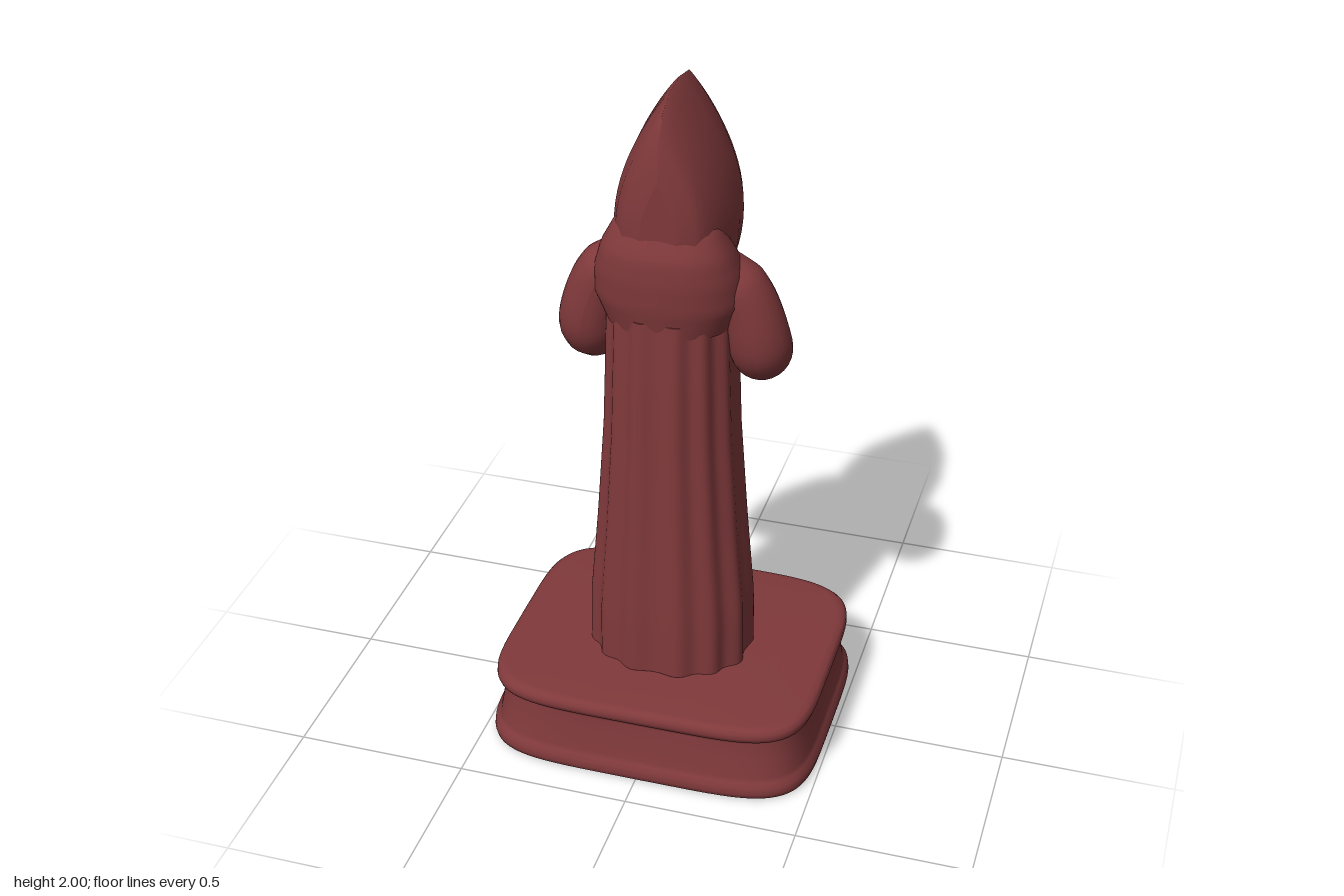
import * as THREE from 'three';

const V = (x, y, z) => new THREE.Vector3(x, y, z);

// Closed loft through rings of equal point count, capped at both ends
function loft(rings) {
  const n = rings[0].length, pos = [], idx = [];
  rings.forEach(r => r.forEach(p => pos.push(p.x, p.y, p.z)));
  for (let i = 0; i < rings.length - 1; i++) for (let j = 0; j < n; j++) {
    const k = (j + 1) % n, a = i * n + j, b = i * n + k, c = a + n, d = b + n;
    idx.push(a, c, b, b, c, d);
  }
  [0, rings.length - 1].forEach((r, top) => {
    const base = pos.length / 3, mid = V(0, 0, 0);
    rings[r].forEach(p => mid.addScaledVector(p, 1 / n));
    rings[r].forEach(p => pos.push(p.x, p.y, p.z));
    pos.push(mid.x, mid.y, mid.z);
    for (let j = 0; j < n; j++) {
      const k = (j + 1) % n;
      idx.push(base + n, base + (top ? k : j), base + (top ? j : k));
    }
  });
  const g = new THREE.BufferGeometry();
  g.setAttribute('position', new THREE.Float32BufferAttribute(pos, 3));
  g.setIndex(idx);
  g.computeVertexNormals();
  return g;
}

const loop = (n, f) => Array.from({ length: n }, (_, i) => f(i / n * Math.PI * 2));
const spow = (v, e) => Math.sign(v) * Math.abs(v) ** e;

// Linear lookup in a table of rows sorted by their first entry
function lookup(table, t) {
  let i = 0;
  while (i < table.length - 2 && t > table[i + 1][0]) i++;
  const a = table[i], b = table[i + 1];
  const f = THREE.MathUtils.clamp((t - a[0]) / (b[0] - a[0]), 0, 1);
  return a.map((v, k) => v + (b[k] - v) * f);
}

// Body cross-section point; angle 0 is the open side at -z
function bodyPoint([y, rx, zBack, zFront], a, fold) {
  const w = Math.abs(a > Math.PI ? a - Math.PI * 2 : a);
  const ss = THREE.MathUtils.smoothstep;
  let m = 1;
  if (fold) {
    const pleat = Math.cos(13 * w) * 0.03 + Math.cos(6 * w + 1) * 0.012;
    m += pleat * ss(w, 0.8, 1.2) - 0.09 * (1 - ss(w, 0.34, 0.42));
  }
  const zc = (zBack + zFront) / 2, rz = (zBack - zFront) / 2;
  return V(m * rx * spow(Math.sin(a), 0.86), y, zc - m * rz * spow(Math.cos(a), 0.86));
}

const ROBE = [[0.25, 0.232, 0.215, -0.2], [0.42, 0.23, 0.213, -0.198], [0.7, 0.206, 0.202, -0.188],
  [1.0, 0.185, 0.192, -0.175], [1.2, 0.178, 0.187, -0.17], [1.38, 0.172, 0.178, -0.155]];
const MANTLE = [[1.34, 0.182, 0.172, -0.155], [1.42, 0.212, 0.187, -0.14], [1.5, 0.203, 0.192, -0.1],
  [1.57, 0.18, 0.188, -0.05], [1.64, 0.142, 0.155, 0], [1.7, 0.08, 0.12, 0.04]];
// Hood rows run from the back to the rim, then into the cavity: z, top, bottom, half width
const HOOD = [[0.163, 1.78, 1.45, 0.05], [0.15, 1.9, 1.35, 0.1], [0.12, 1.95, 1.28, 0.128],
  [0.05, 1.99, 1.2, 0.155], [-0.05, 2, 1.2, 0.164], [-0.13, 1.985, 1.22, 0.155],
  [-0.2, 1.93, 1.25, 0.135], [-0.225, 1.89, 1.27, 0.122], [-0.22, 1.855, 1.33, 0.1],
  [-0.15, 1.87, 1.36, 0.11], [0, 1.86, 1.4, 0.1], [0.06, 1.75, 1.5, 0.05]];

// Variable-width sleeve: a tube whose rings are scaled along the path
function sleeve(points, radii, drop) {
  const curve = new THREE.CatmullRomCurve3(points);
  const su = 48, sv = 28, g = new THREE.TubeGeometry(curve, su, 1, sv, false);
  const p = g.attributes.position, v = V(0, 0, 0);
  for (let i = 0; i < p.count; i++) {
    const u = Math.floor(i / (sv + 1)) / su, c = curve.getPointAt(u);
    const r = lookup(radii, u)[1];
    v.fromBufferAttribute(p, i).sub(c).multiplyScalar(r);
    v.y *= 1 + drop * THREE.MathUtils.smoothstep(u, 0.45, 0.8);
    v.add(c);
    p.setXYZ(i, v.x, v.y, v.z);
  }
  g.computeVertexNormals();
  return g;
}

export function createModel() {
  const model = new THREE.Group();
  const red = new THREE.MeshStandardMaterial({ name: 'oxblood red', color: 0x80393b });
  const steel = new THREE.MeshStandardMaterial({ name: 'steel grey', color: 0x7d837e });
  const dark = new THREE.MeshStandardMaterial({ name: 'dark green grey', color: 0x465047 });
  const add = (name, geo, mat, parent = model) => {
    const m = new THREE.Mesh(geo, mat);
    m.name = name;
    parent.add(m);
    return m;
  };
  const box = (name, w, h, d, x, y, z, mat, parent) =>
    add(name, new THREE.BoxGeometry(w, h, d), mat, parent).position.set(x, y, z);

  // Moulded plinth with rounded-square plan: y, inset
  const profile = [[0, 0.012], [0.006, 0.003], [0.02, 0], [0.04, 0.002], [0.052, 0.012], [0.065, 0.017],
    [0.12, 0.026], [0.175, 0.036], [0.187, 0.032], [0.197, 0.016], [0.21, 0.012], [0.225, 0.013],
    [0.235, 0.022], [0.24, 0.04], [0.245, 0.16], [0.25, 0.27]];
  add('plinth', loft(profile.map(([y, s]) => loop(96, a =>
    V((0.49 - s) * spow(Math.sin(a), 0.4), y, -(0.41 - s) * spow(Math.cos(a), 0.4))))), red);

  // Pleated robe with a recessed centre panel
  const robeRings = [];
  for (let i = 0; i <= 24; i++) {
    const row = lookup(ROBE, 0.25 + 1.13 * i / 24);
    robeRings.push(loop(180, a => bodyPoint(row, a, true)));
  }
  add('robe', loft(robeRings), red);

  // Stud columns down both edges of the robe opening
  const studs = new THREE.Group();
  studs.name = 'robeStuds';
  model.add(studs);
  const studGeo = new THREE.SphereGeometry(0.005, 8, 6);
  for (const s of [-1, 1]) for (let i = 0; i < 9; i++) for (const a of [0.48, 0.68]) {
    const m = add('stud', studGeo, red, studs);
    m.position.copy(bodyPoint(lookup(ROBE, 0.32 + i * 0.09), a, true));
    m.position.x *= s;
  }

  // Shoulder mantle and hollow pointed hood
  const mantleRings = [];
  for (let i = 0; i <= 18; i++) {
    const row = lookup(MANTLE, 1.34 + 0.02 * i);
    mantleRings.push(loop(72, a => bodyPoint(row, a, false)));
  }
  add('shoulderMantle', loft(mantleRings), red);
  add('hood', loft(HOOD.map(([z, top, bottom, w]) => loop(72, u => {
    const v = (1 - Math.cos(u)) / 2;
    const x = w * Math.max(0, Math.sin(Math.PI * v)) ** 0.85;
    return V(-Math.sign(Math.sin(u)) * x, top + (bottom - top) * v, z);
  }))), red);

  // Sleeves, the one on -x reaching lower, with fists stacked on the grip
  for (const s of [1, -1]) {
    const end = s > 0 ? 1.31 : 1.22;
    const name = s > 0 ? 'left' : 'right';
    const path = [[0.11, 1.54, 0.02], [0.205, 1.41, 0.02], [0.243, 1.25, -0.01], [0.2, 1.24, -0.12],
      [0.125, (end + 1.25) / 2 + 0.01, -0.225], [0.07, end, -0.28]].map(p => V(s * p[0], p[1], p[2]));
    const radii = [[0, 0], [0.04, 0.05], [0.16, 0.08], [0.45, 0.088], [0.7, 0.078], [0.93, 0.058],
      [0.975, 0.05], [1, 0]];
    add(name + 'Sleeve', sleeve(path, radii, s > 0 ? 0.3 : 0.5), red);
    const palm = add(name + 'Palm', new THREE.SphereGeometry(1, 20, 14), red);
    palm.scale.set(0.04, 0.05, 0.035);
    palm.position.set(s * 0.032, end + 0.01, -0.29);
    for (let i = 0; i < 4; i++) {
      const finger = add(name + 'Finger', new THREE.TorusGeometry(0.028, 0.013, 8, 20), red);
      finger.rotation.x = Math.PI / 2;
      finger.position.set(0, end - 0.025 + i * 0.024, -0.302);
    }
  }

  // Sword held point down
  const sword = new THREE.Group();
  sword.name = 'sword';
  sword.position.z = -0.3;
  model.add(sword);
  const grip = add('grip', new THREE.CylinderGeometry(0.02, 0.02, 0.28, 16), dark, sword);
  grip.position.y = 1.27;
  box('pommel', 0.066, 0.04, 0.06, 0, 1.41, 0.004, dark, sword);
  box('pommelNeck', 0.045, 0.025, 0.045, 0, 1.38, 0.002, dark, sword);
  box('guard', 0.2, 0.04, 0.056, 0, 1.145, 0, dark, sword);
  for (const s of [-1, 1]) box('guardTip', 0.026, 0.052, 0.064, s * 0.1, 1.145, 0, dark, sword);
  box('bladeCollar', 0.084, 0.14, 0.044, 0, 1.055, 0, steel, sword);
  for (const s of [-1, 1]) {
    box('collarSide', 0.018, 0.23, 0.05, s * 0.04, 1.01, 0, dark, sword);
    for (let i = 0; i < 5; i++) box('collarRib', 0.05, 0.01, 0.008, 0, 1.095 - i * 0.025, s * 0.024, dark, sword);
  }
  const outline = new THREE.Shape();
  outline.moveTo(-0.036, 1.12);
  outline.lineTo(-0.034, 0.6);
  outline.quadraticCurveTo(-0.03, 0.42, 0.024, 0.27);
  outline.quadraticCurveTo(0.036, 0.42, 0.034, 0.6);
  outline.lineTo(0.036, 1.12);
  outline.closePath();
  const blade = new THREE.ExtrudeGeometry(outline, { depth: 0.014, bevelEnabled: true, bevelSize: 0.006,
    bevelThickness: 0.006, bevelOffset: -0.006, bevelSegments: 1, curveSegments: 10 });
  blade.translate(0, 0, -0.007);
  add('blade', blade, steel, sword);
  for (const s of [-1, 1]) box('fuller', 0.01, 0.45, 0.003, 0, 0.75, s * 0.0135, dark, sword);

  return model;
}
